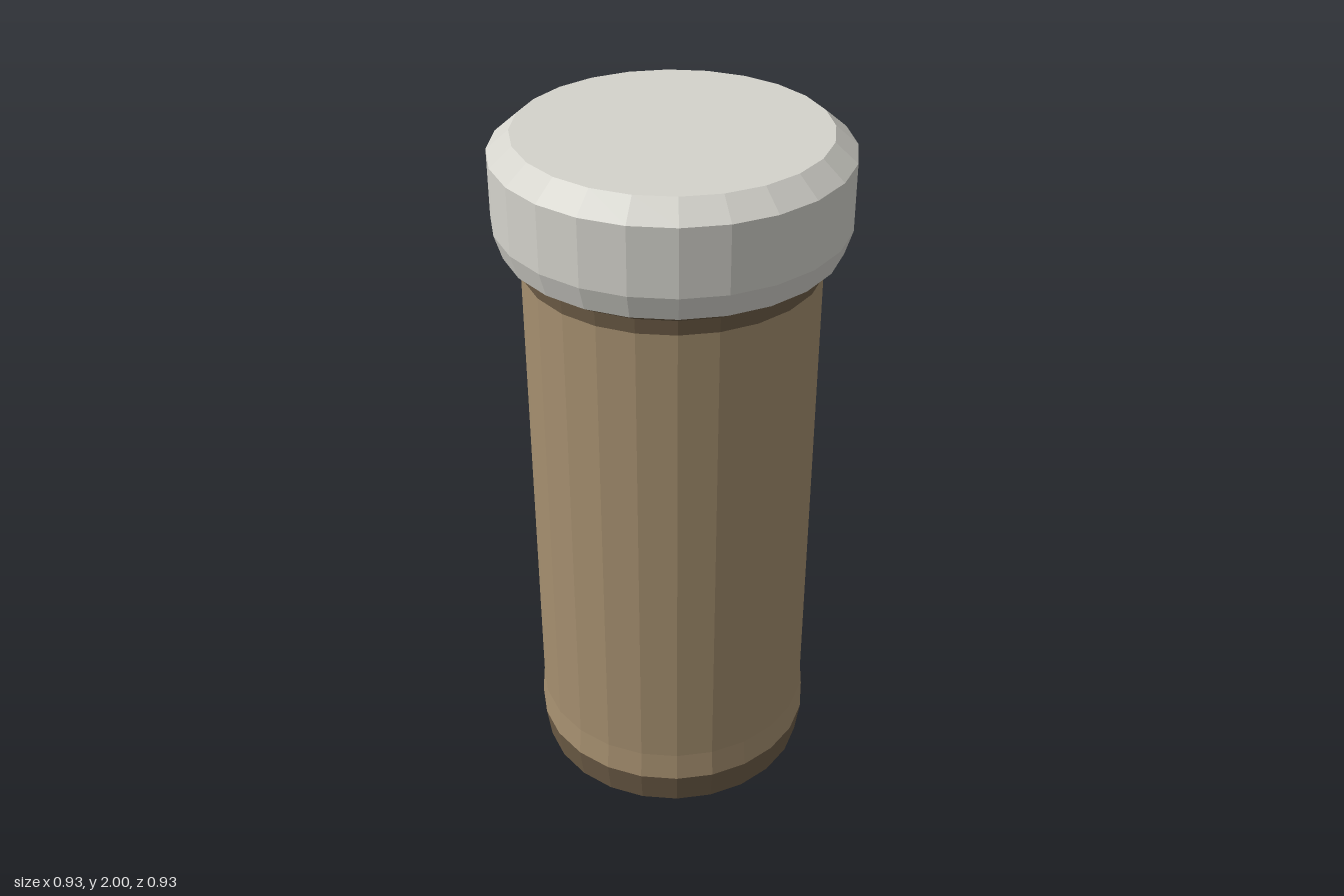
import * as THREE from 'three';

const SIDES = 24;

// Flat-shaded turned part from [radius, height] pairs, listed bottom to top
function turned(name, profile, material) {
  const points = profile.map(([r, y]) => new THREE.Vector2(r, y));
  const mesh = new THREE.Mesh(new THREE.LatheGeometry(points, SIDES), material);
  mesh.name = name;
  return mesh;
}

function flat(name, color) {
  const material = new THREE.MeshStandardMaterial({ color, flatShading: true });
  material.name = name;
  return material;
}

export function createModel() {
  const tan = flat('tan', 0xa58f6f);
  const brown = flat('dark brown', 0x6e5d47);
  const grey = flat('pale grey', 0xd4d3cc);

  const group = new THREE.Group();
  group.name = 'jar';
  group.add(
    // Bevelled foot with closed underside
    turned('base', [[0, 0], [0.305, 0], [0.39, 0.06], [0.403, 0.155]], brown),
    // Straight wall with a slight swell near the foot
    turned('body', [[0.403, 0.155], [0.396, 0.24], [0.396, 1.635]], tan),
    // Dark neck flaring out under the lid
    turned('neck', [[0.396, 1.635], [0.4, 1.677], [0.445, 1.705]], brown),
    // Bevelled lid with flat top
    turned('lid', [[0.445, 1.705], [0.465, 1.77], [0.465, 1.95], [0.406, 2], [0, 2]], grey),
  );
  return group;
}
